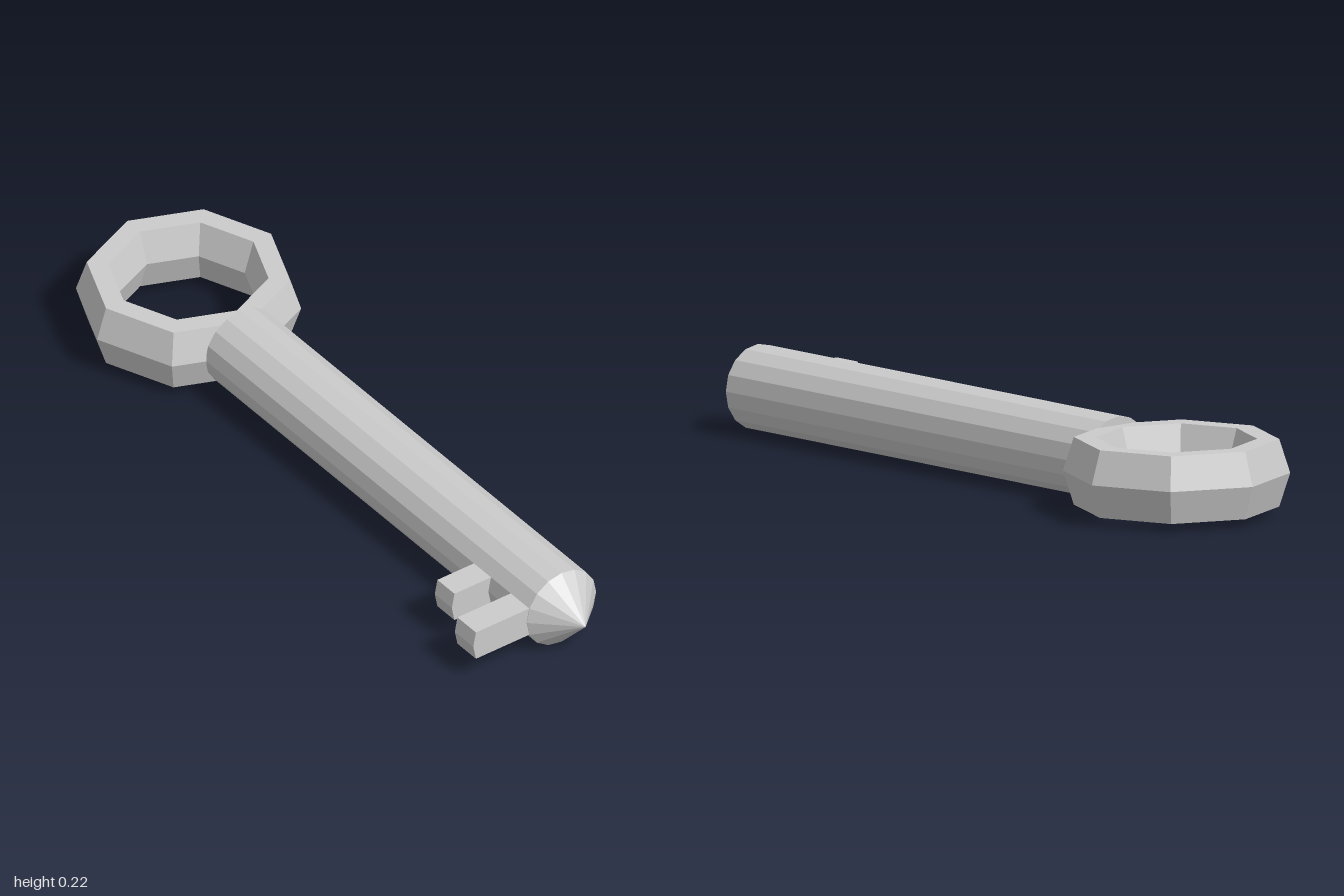
import * as THREE from 'three';

const material = new THREE.MeshStandardMaterial({ color: 0xcccccc, flatShading: true });
const AXIS_Y = 0.111, AXIS_Z = 0.011, RADIUS = 0.11;

function addPart(group, name, geometry) {
  const mesh = new THREE.Mesh(geometry, material);
  mesh.name = name;
  group.add(mesh);
}

// Tooth continuing two facets of the shaft, so its end keeps their shallow ridge
function toothGeometry(x0, x1, reach) {
  const h = RADIUS * Math.sin(Math.PI / 8);
  const ridge = RADIUS * (1 - Math.cos(Math.PI / 8));
  const profile = new THREE.Shape([
    new THREE.Vector2(0.05, AXIS_Y - h),
    new THREE.Vector2(reach - ridge, AXIS_Y - h),
    new THREE.Vector2(reach, AXIS_Y),
    new THREE.Vector2(reach - ridge, AXIS_Y + h),
    new THREE.Vector2(0.05, AXIS_Y + h),
  ]);
  return new THREE.ExtrudeGeometry(profile, { depth: x1 - x0, bevelEnabled: false })
    .rotateY(-Math.PI / 2)
    .translate(x1, 0, 0);
}

export function createModel() {
  const key = new THREE.Group();
  key.name = 'key';

  // Octagonal ring handle with a tall six-sided section
  addPart(key, 'ringHandle', new THREE.TorusGeometry(0.234, 0.056, 6, 8)
    .rotateX(Math.PI / 2)
    .scale(1, 1.805, 1)
    .translate(-0.71, AXIS_Y, 0));

  // Sixteen-sided shaft with a conical tip
  const shaftProfile = [[0, -0.475], [RADIUS, -0.475], [RADIUS, 0.897], [0, 1]]
    .map(([r, x]) => new THREE.Vector2(r, x));
  addPart(key, 'shaft', new THREE.LatheGeometry(shaftProfile, 16)
    .rotateZ(-Math.PI / 2)
    .translate(0, AXIS_Y, AXIS_Z));

  // Two teeth near the tip
  addPart(key, 'shortTooth', toothGeometry(0.66, 0.733, 0.237));
  addPart(key, 'longTooth', toothGeometry(0.817, 0.896, 0.29));

  return key;
}
